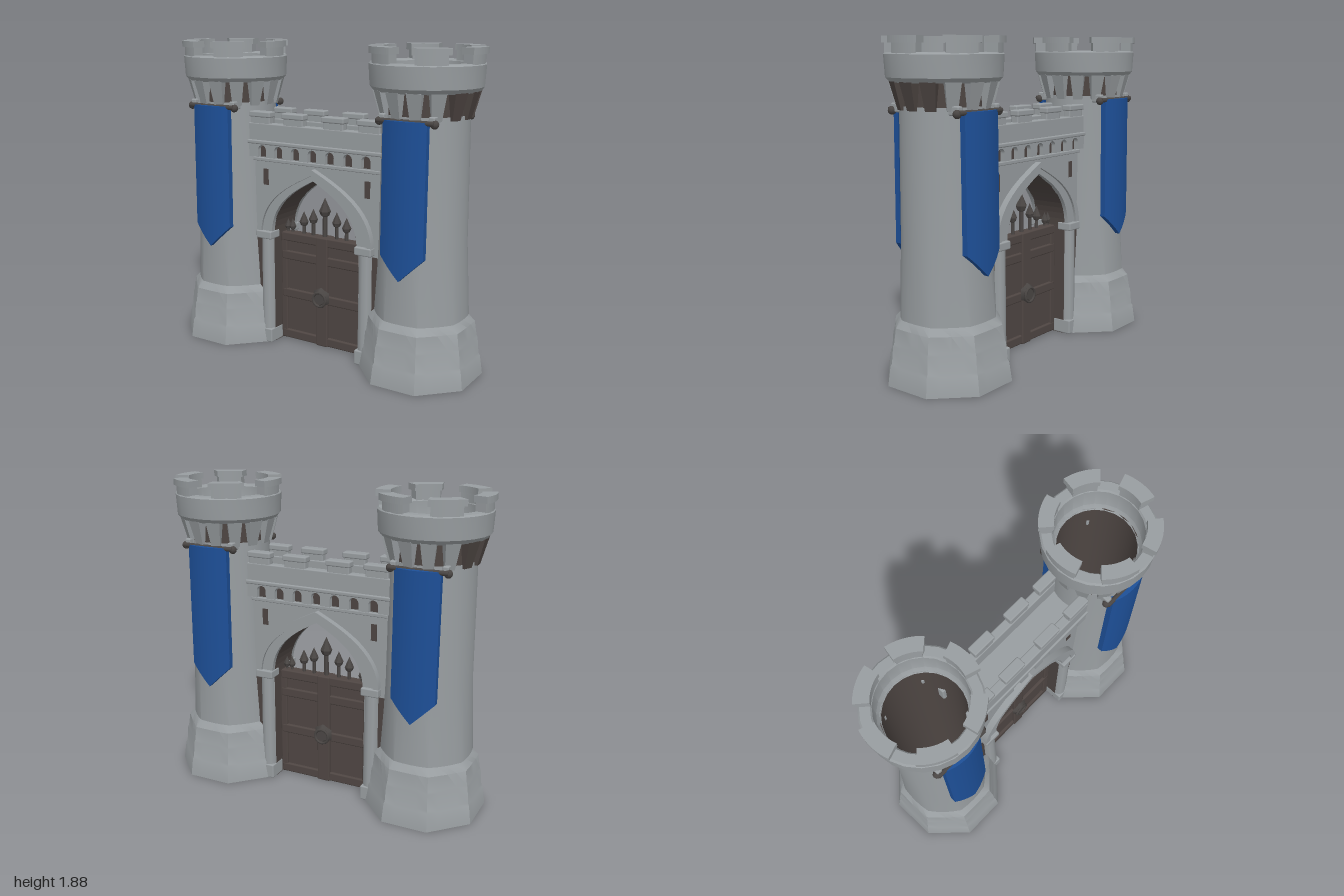
import * as THREE from 'three';
import { toCreasedNormals } from 'three/addons/utils/BufferGeometryUtils.js';
import { RoundedBoxGeometry } from 'three/addons/geometries/RoundedBoxGeometry.js';

const mat = (name, color) => Object.assign(new THREE.MeshStandardMaterial({ color }), { name });
const stone = mat('stone', 0x989da0);
const dark = mat('shadowed stone', 0x4d4542);
const wood = mat('gate wood', 0x4f4643);
const iron = mat('iron', 0x4a4644);
const cloth = mat('banner blue', 0x1d4f97);

function add(parent, name, geo, material, x = 0, y = 0, z = 0) {
  const m = new THREE.Mesh(geo, material);
  m.name = name;
  m.position.set(x, y, z);
  parent.add(m);
  return m;
}

// Box given by its limits, with slightly worn edges
function block(parent, name, material, x0, x1, y0, y1, z0, z1, r = 0.008) {
  const d = [x1 - x0, y1 - y0, z1 - z0];
  const geo = r ? new RoundedBoxGeometry(...d, 2, r) : new THREE.BoxGeometry(...d);
  return add(parent, name, geo, material, (x0 + x1) / 2, (y0 + y1) / 2, (z0 + z1) / 2);
}

const lathe = (pts, seg = 32) => new THREE.LatheGeometry(pts.map(p => new THREE.Vector2(...p)), seg);

// Moves every vertex of a geometry by a rule
function reshape(geo, rule) {
  const p = geo.attributes.position, v = new THREE.Vector3();
  for (let i = 0; i < p.count; i++) {
    rule(v.fromBufferAttribute(p, i));
    p.setXYZ(i, v.x, v.y, v.z);
  }
  geo.computeVertexNormals();
  return geo;
}

// Turns the round foot of the tower into an octagon with flats along x and z
function octagonFoot(v) {
  const r = Math.hypot(v.x, v.z), k = THREE.MathUtils.clamp((0.42 - v.y) / 0.12, 0, 1);
  if (r < 0.23) return;
  const a = Math.atan2(v.x, v.z), q = Math.PI / 4;
  const s = 1 + k * (1 / Math.cos(a - Math.round(a / q) * q) - 1);
  v.x *= s;
  v.z *= s * (1 + 0.03 * k);
}

// Upright block following an arc
function arcBlock(r0, r1, half, y0, y1) {
  const s = new THREE.Shape();
  s.absarc(0, 0, r1, -half, half, false);
  s.absarc(0, 0, r0, half, -half, true);
  return new THREE.ExtrudeGeometry(s, { depth: y1 - y0, bevelEnabled: false, curveSegments: 6 })
    .rotateX(-Math.PI / 2).translate(0, y0, 0);
}

function makeTower(side) {
  const t = new THREE.Group();
  t.name = side > 0 ? 'leftTower' : 'rightTower';
  t.position.x = 0.665 * side;

  const shaft = lathe([[0.335, 0], [0.32, 0.11], [0.312, 0.125], [0.304, 0.22], [0.298, 0.235],
    [0.29, 0.32], [0.264, 0.36], [0.252, 0.8], [0.245, 1.52], [0.235, 1.52]]);
  add(t, 'shaft', toCreasedNormals(reshape(shaft, octagonFoot), 0.5), stone);
  const hollow = lathe([[0.225, 1.64], [0.225, 0], [0.335, 0]]);
  add(t, 'hollowCore', toCreasedNormals(reshape(hollow, octagonFoot), 0.5), dark);
  add(t, 'recess', lathe([[0.242, 1.51], [0.242, 1.66]]), dark);
  const crown = lathe([[0.235, 1.645], [0.295, 1.645], [0.315, 1.67], [0.322, 1.79], [0.312, 1.8],
    [0.258, 1.8], [0.25, 1.79], [0.246, 1.67], [0.225, 1.64]], 24);
  add(t, 'crown', toCreasedNormals(crown, 0.6), stone);

  // Merlons with overhanging caps
  for (let i = 0; i < 6; i++) {
    const a = i * Math.PI / 3;
    add(t, 'merlon', arcBlock(0.252, 0.315, 0.28, 1.79, 1.85), stone).rotation.y = a;
    add(t, 'merlonCap', arcBlock(0.246, 0.33, 0.32, 1.848, 1.885), stone).rotation.y = a;
  }

  // Corbels tapering down to the shaft
  for (let i = 0; i < 14; i++) {
    const a = (i + 0.5) * Math.PI / 7;
    const geo = reshape(new THREE.BoxGeometry(0.085, 0.15, 0.07).toNonIndexed(), v => {
      if (v.y < 0) { v.z = v.z > 0 ? -0.005 : v.z; v.x *= 0.65; }
    }).translate(0, 1.575, 0.262);
    const outer = Math.sin(a) * side > 0.85;
    add(t, 'corbel', geo, outer ? dark : stone).rotation.y = a;
  }

  for (const front of [1, -1]) {
    const b = new THREE.Group();
    b.name = front > 0 ? 'frontBanner' : 'backBanner';
    b.rotation.y = front > 0 ? 0 : Math.PI;
    // Curved cloth with a pointed end
    const sheet = reshape(new THREE.BoxGeometry(0.264, 1, 0.03, 10, 5, 1), v => {
      const low = 0.62 + Math.abs(v.x) * 0.98;
      const f = v.y + 0.5;
      v.y = low + (1.5 - low) * f;
      const r = 0.275 + v.z + 0.006 * (1 - f);
      v.z = Math.sqrt(r * r - v.x * v.x);
    });
    add(b, 'cloth', toCreasedNormals(sheet, 0.7), cloth);
    add(b, 'rod', new THREE.CylinderGeometry(0.014, 0.014, 0.34, 8).rotateZ(Math.PI / 2), iron, 0, 1.495, 0.25);
    for (const s of [1, -1]) {
      add(b, 'rodKnob', new THREE.SphereGeometry(0.024, 10, 8), iron, 0.165 * s, 1.49, 0.235);
      block(b, 'rodBracket', stone, 0.15 * s - 0.018, 0.15 * s + 0.018, 1.48, 1.53, 0.17, 0.245);
    }
    t.add(b);
  }
  return t;
}

// Pointed arch from its right foot over the apex to its left foot, or reversed
const SPRING = 0.71;
function archTo(path, w, apex, dir = 1) {
  const h = apex - SPRING, x = w * dir;
  path.lineTo(x, SPRING);
  path.bezierCurveTo(x, SPRING + 0.55 * h, 0.45 * x, SPRING + 0.8 * h, 0, apex);
  path.bezierCurveTo(-0.45 * x, SPRING + 0.8 * h, -x, SPRING + 0.55 * h, -x, SPRING);
}

function archRing(w0, a0, w1, a1, depth) {
  const s = new THREE.Shape();
  s.moveTo(w1, SPRING - 0.01);
  archTo(s, w1, a1);
  s.lineTo(-w0, SPRING - 0.01);
  archTo(s, w0, a0, -1);
  return toCreasedNormals(new THREE.ExtrudeGeometry(s, { depth, bevelEnabled: false, curveSegments: 14 }), 0.6);
}

// Row of small arches hanging below the parapet
function arcade() {
  const s = new THREE.Shape(), n = 7, step = 0.122, r = 0.03;
  s.moveTo(0.465, 1.285);
  s.lineTo(-0.465, 1.285);
  s.lineTo(-0.465, 1.19);
  for (let i = 0; i < n; i++) {
    const x = (i - (n - 1) / 2) * step;
    s.lineTo(x - r, 1.19);
    s.absarc(x, 1.235, r, Math.PI, 0, true);
    s.lineTo(x + r, 1.19);
  }
  s.lineTo(0.465, 1.19);
  return new THREE.ExtrudeGeometry(s, { depth: 0.035, bevelEnabled: false, curveSegments: 8 });
}

function makeWall() {
  const wall = new THREE.Group();
  wall.name = 'gateWall';
  const s = new THREE.Shape();
  s.moveTo(0.455, 0);
  s.lineTo(0.455, 1.28);
  s.lineTo(-0.455, 1.28);
  s.lineTo(-0.455, 0);
  s.lineTo(-0.305, 0);
  archTo(s, 0.305, 1.08, -1);
  s.lineTo(0.305, 0);
  const body = new THREE.ExtrudeGeometry(s, { depth: 0.22, steps: 2, bevelEnabled: false, curveSegments: 14 })
    .translate(0, 0, -0.11);
  reshape(body, v => { if (Math.abs(v.x) > 0.4 && Math.abs(v.z) < 0.05) v.x = 0.43 * Math.sign(v.x); });
  add(wall, 'archedWall', body, [stone, dark]);
  block(wall, 'walkway', stone, -0.435, 0.435, 1.26, 1.29, -0.1, 0.1, 0);

  // Both faces carry the same dressing
  for (const turn of [0, Math.PI]) {
    const f = new THREE.Group();
    f.name = turn ? 'backFace' : 'frontFace';
    f.rotation.y = turn;
    block(f, 'parapet', stone, -0.478, 0.478, 1.275, 1.4, 0.085, 0.14);
    block(f, 'parapetLedge', stone, -0.478, 0.478, 1.27, 1.295, 0.09, 0.15);
    for (const x of [-0.38, -0.14, 0.14, 0.38]) {
      block(f, 'wallMerlon', stone, x - 0.07, x + 0.07, 1.39, 1.445, 0.09, 0.138);
      block(f, 'wallMerlonCap', stone, x - 0.077, x + 0.077, 1.435, 1.47, 0.084, 0.147);
    }
    add(f, 'arcade', arcade(), stone, 0, 0, 0.108);
    block(f, 'arcadeShadow', dark, -0.44, 0.44, 1.19, 1.272, 0.108, 0.114, 0);
    block(f, 'stringCourse', stone, -0.45, 0.45, 1.163, 1.185, 0.1, 0.125, 0.005);
    add(f, 'archBand', archRing(0.305, 1.08, 0.385, 1.13, 0.03), stone, 0, 0, 0.105);
    add(f, 'archHood', archRing(0.375, 1.115, 0.41, 1.15, 0.045), stone, 0, 0, 0.105);
    for (const m of [1, -1]) {
      block(f, 'columnBase', stone, 0.355 * m - 0.052, 0.355 * m + 0.052, 0, 0.09, 0.03, 0.155);
      add(f, 'column', new THREE.CylinderGeometry(0.042, 0.046, 0.61, 10), stone, 0.352 * m, 0.385, 0.105);
      block(f, 'columnCapital', stone, 0.355 * m - 0.056, 0.355 * m + 0.056, 0.68, 0.73, 0.06, 0.157);
      block(f, 'columnRecess', dark, 0.415 * m - 0.018, 0.415 * m + 0.018, 0.3, 0.67, 0.109, 0.114, 0);
      block(f, 'slitWindow', dark, 0.36 * m - 0.018, 0.36 * m + 0.018, 1.015, 1.115, 0.108, 0.114, 0);
    }
    wall.add(f);
  }
  return wall;
}

function makeGate() {
  const gate = new THREE.Group();
  gate.name = 'gate';
  for (const m of [1, -1]) {
    block(gate, 'gateLeaf', wood, 0.155 * m - 0.15, 0.155 * m + 0.15, 0.005, 0.69, -0.02, 0.02, 0);
    block(gate, 'hingeStile', wood, 0.285 * m - 0.022, 0.285 * m + 0.022, 0.005, 0.7, -0.035, 0.035);
  }
  block(gate, 'middleStile', wood, -0.042, 0.042, 0.005, 0.71, -0.045, 0.045);
  for (const y of [0.035, 0.31, 0.56, 0.68])
    block(gate, 'rail', wood, -0.3, 0.3, y - 0.028, y + 0.028, -0.037, 0.037);
  for (const m of [1, -1]) {
    add(gate, 'boss', new THREE.CylinderGeometry(0.045, 0.065, 0.025, 6).rotateX(m * Math.PI / 2), iron, 0, 0.33, 0.055 * m);
    add(gate, 'ring', new THREE.TorusGeometry(0.045, 0.009, 6, 12), iron, 0, 0.32, 0.068 * m);
  }
  // Spear-headed bars
  const spikes = [[0, 0.955, 1.4], [0.085, 0.875, 1.1], [0.155, 0.85, 1.1], [0.24, 0.795, 0.85], [0.275, 0.79, 0.8]];
  for (const [x, top, k] of spikes) for (const m of x ? [1, -1] : [1]) {
    const geo = lathe([[0.011 * k, 0.68], [0.01 * k, top - 0.085 * k], [0.018 * k, top - 0.08 * k],
      [0.026 * k, top - 0.06 * k], [0, top]], 6);
    add(gate, 'spike', toCreasedNormals(geo, 0.4), iron, x * m, 0, 0);
  }
  return gate;
}

export function createModel() {
  const model = new THREE.Group();
  model.name = 'castleGate';
  model.add(makeTower(1), makeTower(-1), makeWall(), makeGate());
  return model;
}
